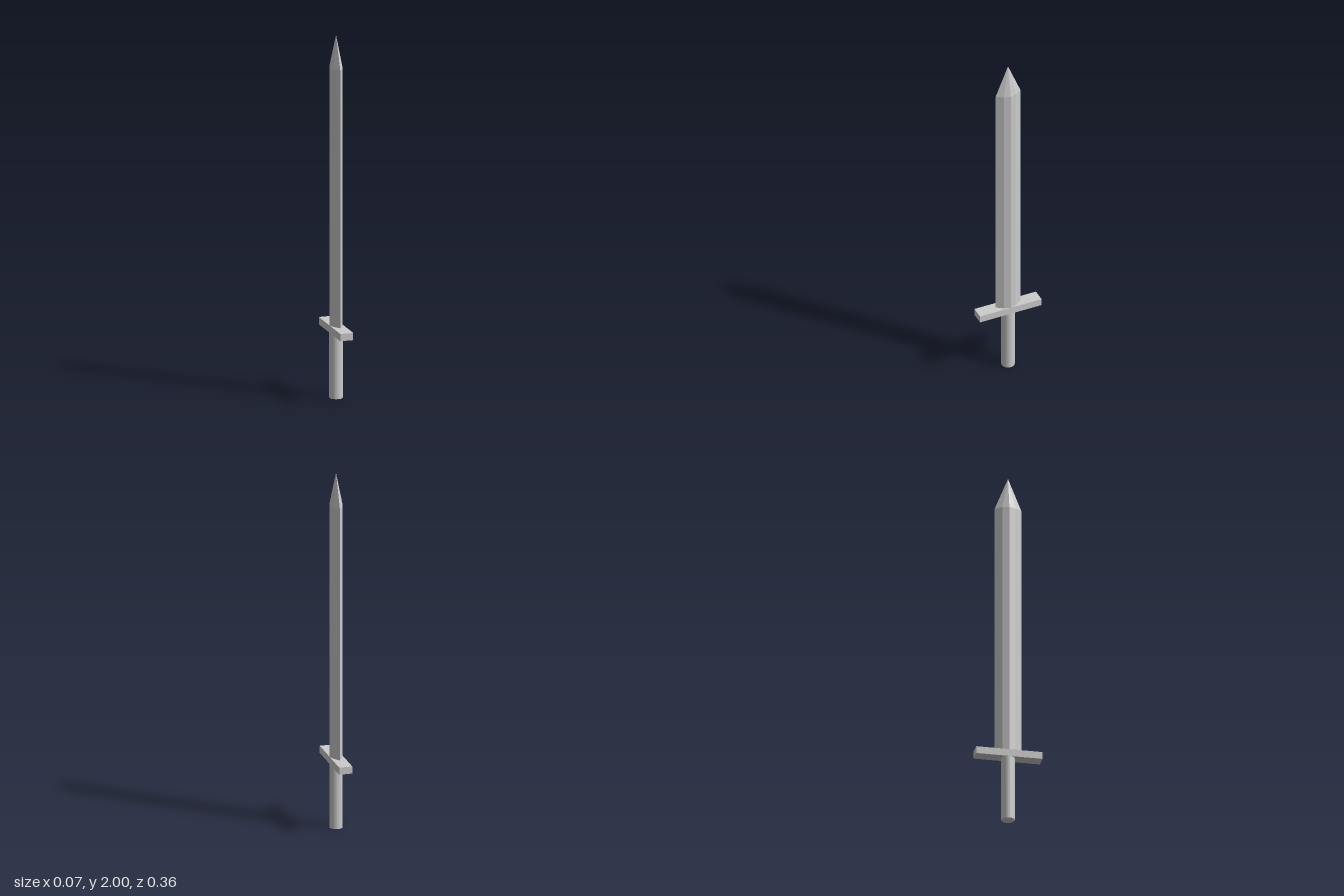
import * as THREE from 'three';

const GRIP_TOP = 0.36, GUARD_TOP = 0.4, SHOULDER = 1.82, TIP = 2;
const HALF_X = 0.036, HALF_Z = 0.072;

// Eight-sided blade section as [x, z], going round from the front edge
const SECTION = [
  [0, HALF_Z], [0.025, 0.036], [HALF_X, 0], [0.025, -0.036],
  [0, -HALF_Z], [-0.025, -0.036], [-HALF_X, 0], [-0.025, 0.036],
];

// Straight faceted sides from the guard to the shoulder, then a pointed tip
function bladeGeometry() {
  const positions = [];
  const at = (i, y) => {
    const [x, z] = SECTION[i % SECTION.length];
    return [x, y, z];
  };
  for (let i = 0; i < SECTION.length; i++) {
    const a = at(i, GUARD_TOP), b = at(i + 1, GUARD_TOP);
    const c = at(i + 1, SHOULDER), d = at(i, SHOULDER);
    positions.push(...a, ...b, ...c, ...a, ...c, ...d);
    positions.push(...d, ...c, 0, TIP, 0);
    positions.push(...b, ...a, 0, GUARD_TOP, 0);
  }
  const geometry = new THREE.BufferGeometry();
  geometry.setAttribute('position', new THREE.Float32BufferAttribute(positions, 3));
  geometry.computeVertexNormals();
  return geometry;
}

export function createModel() {
  const group = new THREE.Group();
  group.name = 'sword';
  const smooth = new THREE.MeshStandardMaterial({ color: 0xcccccc });
  const faceted = new THREE.MeshStandardMaterial({ color: 0xcccccc, flatShading: true });

  const add = (name, geometry, material, y = 0) => {
    const mesh = new THREE.Mesh(geometry, material);
    mesh.name = name;
    mesh.position.y = y;
    group.add(mesh);
  };

  // Round grip
  add('grip', new THREE.CylinderGeometry(HALF_X, HALF_X, GRIP_TOP, 32), smooth, GRIP_TOP / 2);
  // Flat crossguard running front to back
  add('crossguard', new THREE.BoxGeometry(HALF_X * 2, GUARD_TOP - GRIP_TOP, 0.36), faceted,
    (GRIP_TOP + GUARD_TOP) / 2);
  // Blade with its tip
  add('blade', bladeGeometry(), faceted);

  return group;
}
